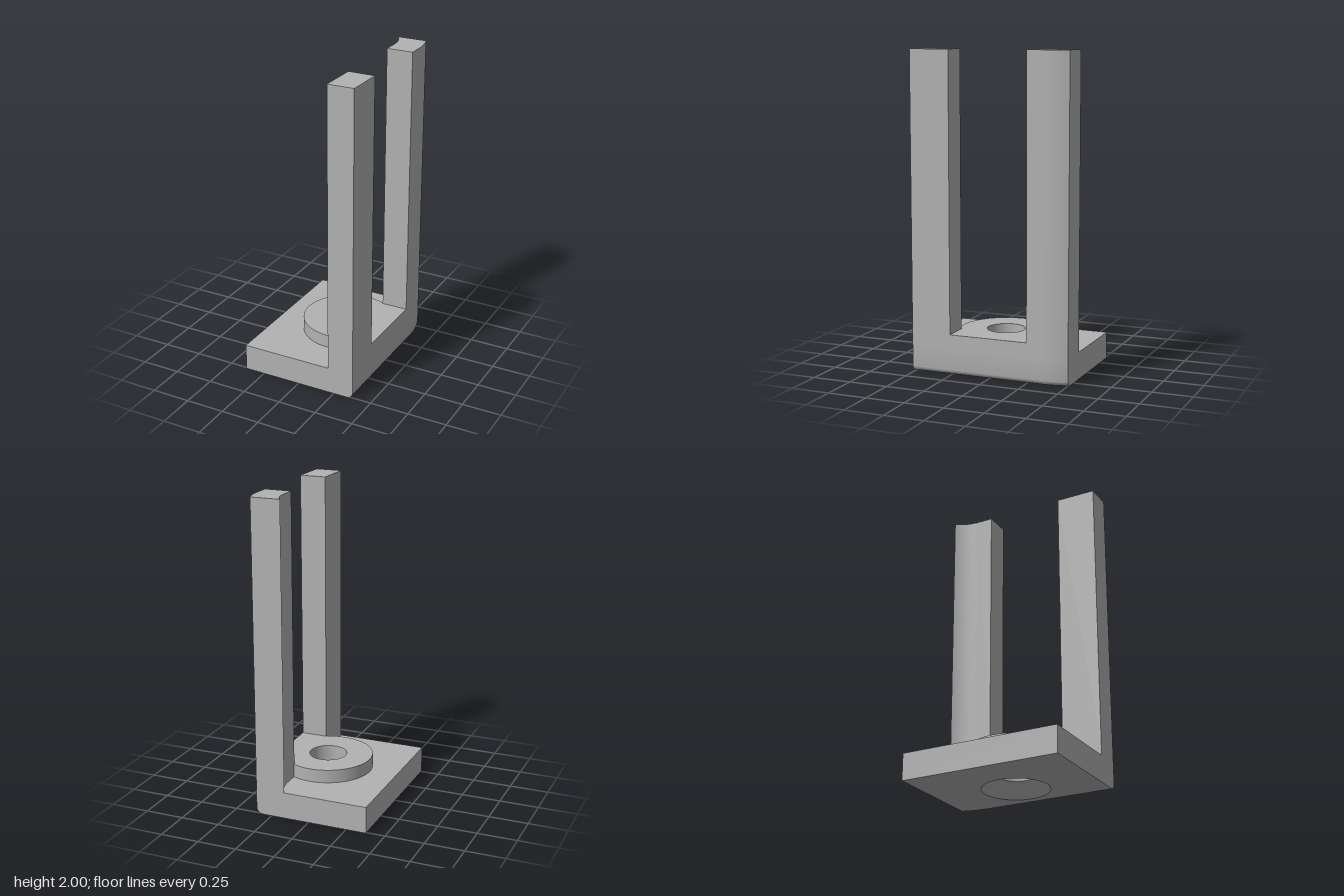
import * as THREE from 'three';
import { toCreasedNormals } from 'three/addons/utils/BufferGeometryUtils.js';

const HALF_X = 0.38, HALF_Z = 0.51, INNER_X = 0.21;
const BASE_TOP = 0.17, STEP_TOP = 0.255, TOP = 2;
const BEND_X = -0.06, BEND = 0.355;              // centre of the curved rear corner
const HOLE_X = 0.085, HOLE_R = 0.12, SINK_R = 0.21, SINK_H = 0.09, BOSS_R = 0.288;
const FILLET = 0.04;

// Plans are drawn in (x, -z); the arc runs from the straight side to the rear edge.
function bendArc(radius) {
  const end = Math.asin((HALF_Z - BEND) / radius), pts = [];
  for (let i = 0; i <= 16; i++) {
    const a = end * i / 16;
    pts.push(new THREE.Vector2(BEND_X + radius * Math.cos(a), BEND + radius * Math.sin(a)));
  }
  return pts;
}
const v = (x, y) => new THREE.Vector2(x, y);
const outerArc = (inset = 0) => bendArc(HALF_X - BEND_X - inset);
const innerArc = () => bendArc(INNER_X - BEND_X).reverse();
const basePlan = (inset) => [
  v(-HALF_X, -HALF_Z), v(HALF_X - inset, -HALF_Z), ...outerArc(inset), v(-HALF_X, HALF_Z),
];

function plan(points, holeRadius) {
  const shape = new THREE.Shape(points);
  if (holeRadius) shape.holes.push(new THREE.Path().absarc(HOLE_X, 0, holeRadius, 0, Math.PI * 2, true));
  return shape;
}

function extrudeUp(shape, y0, y1) {
  const g = new THREE.ExtrudeGeometry(shape, { depth: y1 - y0, bevelEnabled: false, curveSegments: 64 });
  g.rotateX(-Math.PI / 2).translate(0, y0, 0);
  return toCreasedNormals(g, 0.5);
}

// Base sides as stacked outlines, rounded along the lower right edge
function baseSides() {
  const rings = [];
  for (let i = 0; i <= 8; i++) {
    const a = (i / 8) * Math.PI / 2;
    rings.push({ y: FILLET * (1 - Math.cos(a)), pts: basePlan(FILLET * (1 - Math.sin(a))) });
  }
  rings.push({ y: BASE_TOP, pts: basePlan(0) });
  const n = rings[0].pts.length, pos = [], index = [];
  rings.forEach(({ y, pts }, k) => pts.forEach((p, i) => {
    pos.push(p.x, y, -p.y);
    if (k === rings.length - 1) return;
    const a = k * n + i, b = k * n + (i + 1) % n;
    index.push(a, b, b + n, a, b + n, a + n);
  }));
  const g = new THREE.BufferGeometry();
  g.setAttribute('position', new THREE.Float32BufferAttribute(pos, 3));
  g.setIndex(index);
  return toCreasedNormals(g, 0.5);
}

export function createModel() {
  const group = new THREE.Group();
  group.name = 'slottedBracket';
  const grey = new THREE.MeshStandardMaterial({ color: 0xb2b2b2 });
  grey.name = 'plain grey';
  const add = (name, geometry) => {
    const mesh = new THREE.Mesh(geometry, grey);
    mesh.name = name;
    group.add(mesh);
    return mesh;
  };

  // Base plate
  add('baseSides', baseSides());
  add('baseTop', new THREE.ShapeGeometry(plan(basePlan(0), HOLE_R), 64)
    .rotateX(-Math.PI / 2).translate(0, BASE_TOP, 0));
  const under = basePlan(FILLET).map((p) => v(p.x, -p.y)).reverse();
  add('baseUnderside', new THREE.ShapeGeometry(plan(under, SINK_R), 64).rotateX(Math.PI / 2));

  // Countersunk bore, facing inwards
  const bore = new THREE.LatheGeometry([v(HOLE_R, BASE_TOP), v(HOLE_R, SINK_H), v(SINK_R, 0)], 64);
  add('countersunkBore', toCreasedNormals(bore, 0.5)).position.x = HOLE_X;

  // Round boss merged with the low wall between the posts
  const start = Math.acos((INNER_X - HOLE_X) / BOSS_R), bossArc = [];
  for (let i = 0; i <= 64; i++) {
    const a = start + (Math.PI * 2 - 2 * start) * i / 64;
    bossArc.push(v(HOLE_X + BOSS_R * Math.cos(a), BOSS_R * Math.sin(a)));
  }
  const step = [v(INNER_X, -HALF_Z), v(HALF_X, -HALF_Z), ...outerArc(), ...innerArc(), ...bossArc];
  add('bossAndWall', extrudeUp(plan(step, HOLE_R), BASE_TOP, STEP_TOP));

  // Upright posts: straight in front, curved at the rear
  const inner = 0.253;
  const front = [v(INNER_X, -HALF_Z), v(HALF_X, -HALF_Z), v(HALF_X, -inner), v(INNER_X, -inner)];
  const rear = [v(INNER_X, inner), v(HALF_X, inner), ...outerArc(), ...innerArc()];
  add('frontPost', extrudeUp(plan(front), STEP_TOP, TOP));
  add('rearPost', extrudeUp(plan(rear), STEP_TOP, TOP));
  return group;
}
